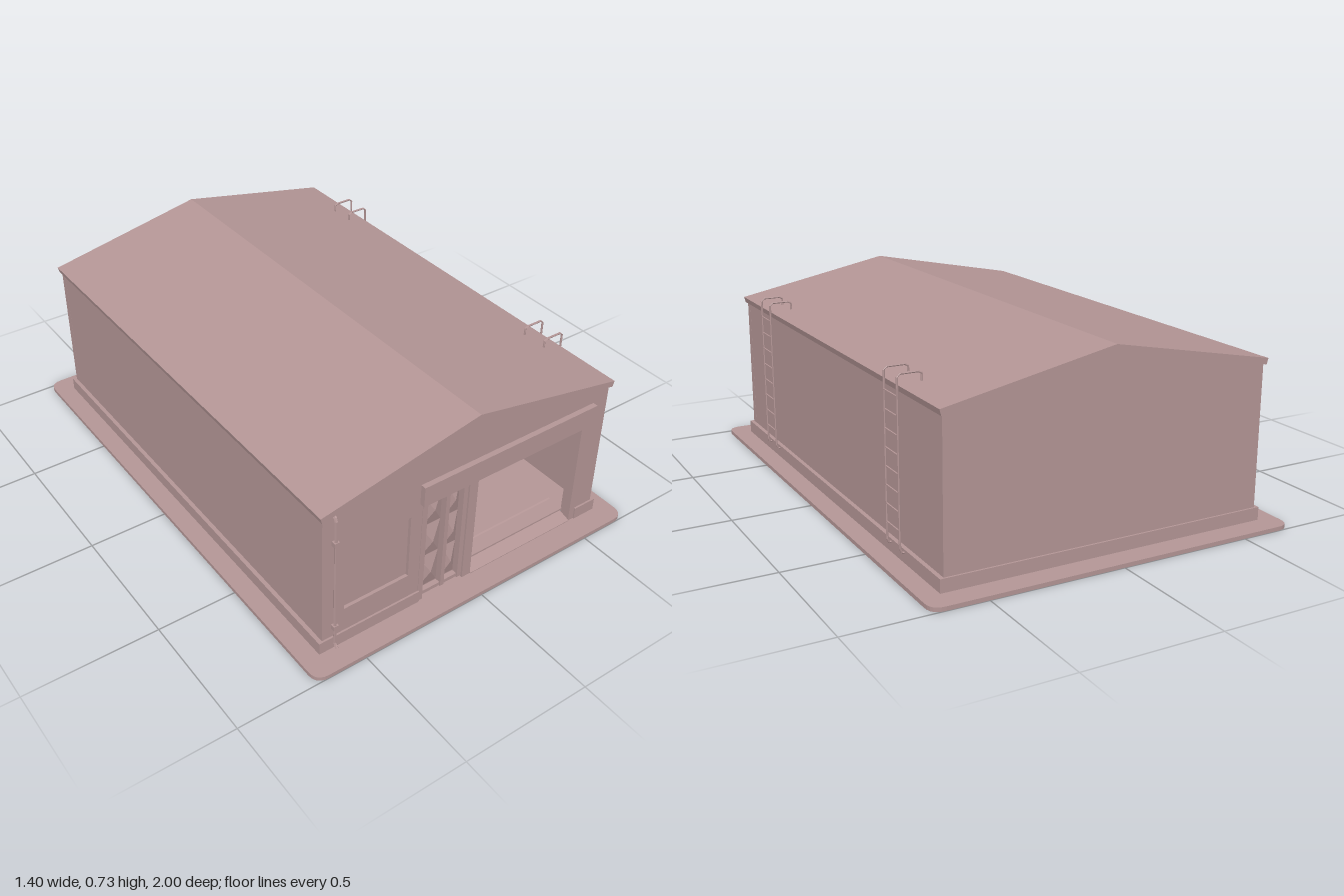
import * as THREE from 'three';

const mat = new THREE.MeshStandardMaterial({ color: 0xb39595, flatShading: true, side: THREE.DoubleSide });

function add(parent, geo, name) {
  const mesh = new THREE.Mesh(geo, mat);
  mesh.name = name;
  parent.add(mesh);
  return mesh;
}

// Box given by its limits on each axis
function block(parent, name, x0, x1, y0, y1, z0, z1) {
  const mesh = add(parent, new THREE.BoxGeometry(x1 - x0, y1 - y0, z1 - z0), name);
  mesh.position.set((x0 + x1) / 2, (y0 + y1) / 2, (z0 + z1) / 2);
  return mesh;
}

function polygon(points, Type = THREE.Shape) {
  return new Type(points.map(([x, y]) => new THREE.Vector2(x, y)));
}

const rect = (x0, x1, y0, y1) => polygon([[x0, y0], [x0, y1], [x1, y1], [x1, y0]], THREE.Path);

// Extrude an upright xy shape between two depths
function extrude(parent, name, shape, z0, z1) {
  const geo = new THREE.ExtrudeGeometry(shape, { depth: z1 - z0, bevelEnabled: false, curveSegments: 6 });
  geo.translate(0, 0, z0);
  return add(parent, geo, name);
}

// Round bar through straight segments
function bar(parent, name, points, r) {
  const path = new THREE.CurvePath();
  const v = points.map((p) => new THREE.Vector3(...p));
  for (let i = 1; i < v.length; i++) path.add(new THREE.LineCurve3(v[i - 1], v[i]));
  return add(parent, new THREE.TubeGeometry(path, 48, r, 6, false), name);
}

function makeLadder(z) {
  const ladder = new THREE.Group();
  ladder.name = 'ladder';
  for (const side of [-0.05, 0.05]) {
    const s = z + side;
    bar(ladder, 'ladderRail', [[0.605, 0.052, s], [0.635, 0.052, s], [0.642, 0.06, s], [0.642, 0.645, s],
      [0.635, 0.653, s], [0.563, 0.653, s], [0.556, 0.646, s], [0.556, 0.615, s]], 0.004);
  }
  for (let i = 0; i < 8; i++) {
    const y = 0.128 + i * 0.0645;
    bar(ladder, 'ladderRung', [[0.642, y, z - 0.05], [0.642, y, z + 0.05]], 0.003);
  }
  return ladder;
}

// Door leaf with three raised pyramids
function makeLeaf(x0, x1) {
  const leaf = new THREE.Group();
  leaf.name = 'doorLeaf';
  block(leaf, 'leafPanel', x0, x1, 0.02, 0.46, 0.865, 0.875);
  const h = 0.14;
  for (let i = 0; i < 3; i++) {
    const geo = new THREE.ConeGeometry(Math.SQRT1_2, 1, 4, 1, true);
    geo.rotateY(Math.PI / 4).rotateX(Math.PI / 2).scale(x1 - x0, h, 0.02);
    const pyramid = add(leaf, geo, 'leafPyramid');
    pyramid.position.set((x0 + x1) / 2, 0.038 + h * (i + 0.5), 0.885);
  }
  return leaf;
}

export function createModel() {
  const model = new THREE.Group();
  model.name = 'warehouse';

  // Paved apron: a rounded ring around the building
  const X = 0.7, Z = 1, R = 0.05;
  const apron = new THREE.Shape();
  apron.moveTo(-X + R, -Z).lineTo(X - R, -Z).quadraticCurveTo(X, -Z, X, -Z + R)
    .lineTo(X, Z - R).quadraticCurveTo(X, Z, X - R, Z)
    .lineTo(-X + R, Z).quadraticCurveTo(-X, Z, -X, Z - R)
    .lineTo(-X, -Z + R).quadraticCurveTo(-X, -Z, -X + R, -Z);
  apron.holes.push(rect(-0.59, 0.59, -0.88, 0.88));
  const apronMesh = extrude(model, 'apron', apron, 0, 0.015);
  apronMesh.rotation.x = -Math.PI / 2;

  // Raised floor and entrance ramp
  block(model, 'floor', -0.59, 0.59, 0.043, 0.05, -0.88, 0.87);
  const ramp = polygon([[-0.91, 0.015], [-0.91, 0.018], [-0.8, 0.052], [-0.8, 0.015]]);
  const rampMesh = extrude(model, 'entranceRamp', ramp, 0.025, 0.505);
  rampMesh.rotation.y = Math.PI / 2;

  // Walls: gables at front and back, boxes at the sides
  const gable = () => polygon([[-0.613, 0.015], [0.613, 0.015], [0.613, 0.592], [0, 0.71], [-0.613, 0.592]]);
  const front = polygon([[-0.613, 0.015], [-0.21, 0.015], [-0.21, 0.46], [0.53, 0.46], [0.53, 0.015],
    [0.613, 0.015], [0.613, 0.592], [0, 0.71], [-0.613, 0.592]]);
  front.holes.push(rect(-0.525, -0.26, 0.16, 0.42));
  extrude(model, 'frontWall', front, 0.875, 0.905);
  extrude(model, 'backWall', gable(), -0.908, -0.88);
  for (const s of [-1, 1]) {
    const wall = block(model, 'sideWall', -0.0125, 0.0125, 0.015, 0.592, -0.88, 0.875);
    wall.position.x = s * 0.6;
    const base = block(model, 'sidePlinth', -0.02, 0.02, 0.015, 0.063, -0.915, 0.912);
    base.position.x = s * 0.608;
  }
  block(model, 'windowPanel', -0.525, -0.26, 0.16, 0.42, 0.88, 0.893);

  // Plinth at front and back
  block(model, 'backPlinth', -0.628, 0.628, 0.015, 0.063, -0.915, -0.88);
  block(model, 'frontPlinth', -0.628, -0.21, 0.015, 0.063, 0.875, 0.912);
  block(model, 'frontPlinth', 0.53, 0.628, 0.015, 0.063, 0.875, 0.912);

  // Pitched roof
  const roof = polygon([[-0.62, 0.585], [-0.626, 0.607], [0, 0.73], [0.626, 0.607], [0.62, 0.585], [0, 0.706]]);
  extrude(model, 'roof', roof, -0.917, 0.915);

  // Gate: cover box, jambs and two folded leaves
  const gate = new THREE.Group();
  gate.name = 'gate';
  model.add(gate);
  block(gate, 'gateCover', -0.225, 0.545, 0.46, 0.54, 0.88, 0.925);
  block(gate, 'jamb', -0.213, -0.192, 0.015, 0.46, 0.865, 0.907);
  block(gate, 'jamb', 0.505, 0.53, 0.015, 0.46, 0.865, 0.907);
  block(gate, 'leafPost', -0.106, -0.09, 0.02, 0.46, 0.865, 0.9);
  block(gate, 'leafPost', -0.03, -0.012, 0.02, 0.46, 0.865, 0.9);
  block(gate, 'leafPost', -0.012, 0.025, 0.015, 0.46, 0.855, 0.907);
  block(gate, 'leafBottomRail', -0.192, -0.03, 0.02, 0.035, 0.865, 0.895);
  gate.add(makeLeaf(-0.192, -0.106), makeLeaf(-0.09, -0.03));

  // Drainpipe with clamps
  const pipe = new THREE.Group();
  pipe.name = 'drainpipe';
  model.add(pipe);
  bar(pipe, 'pipe', [[-0.567, 0.585, 0.9], [-0.567, 0.575, 0.914], [-0.567, 0.035, 0.914], [-0.567, 0.02, 0.926]], 0.006);
  for (const y of [0.11, 0.475]) block(pipe, 'pipeClamp', -0.577, -0.557, y - 0.009, y + 0.009, 0.9, 0.922);

  // Roof access ladders
  model.add(makeLadder(0.583), makeLadder(-0.605));

  return model;
}
